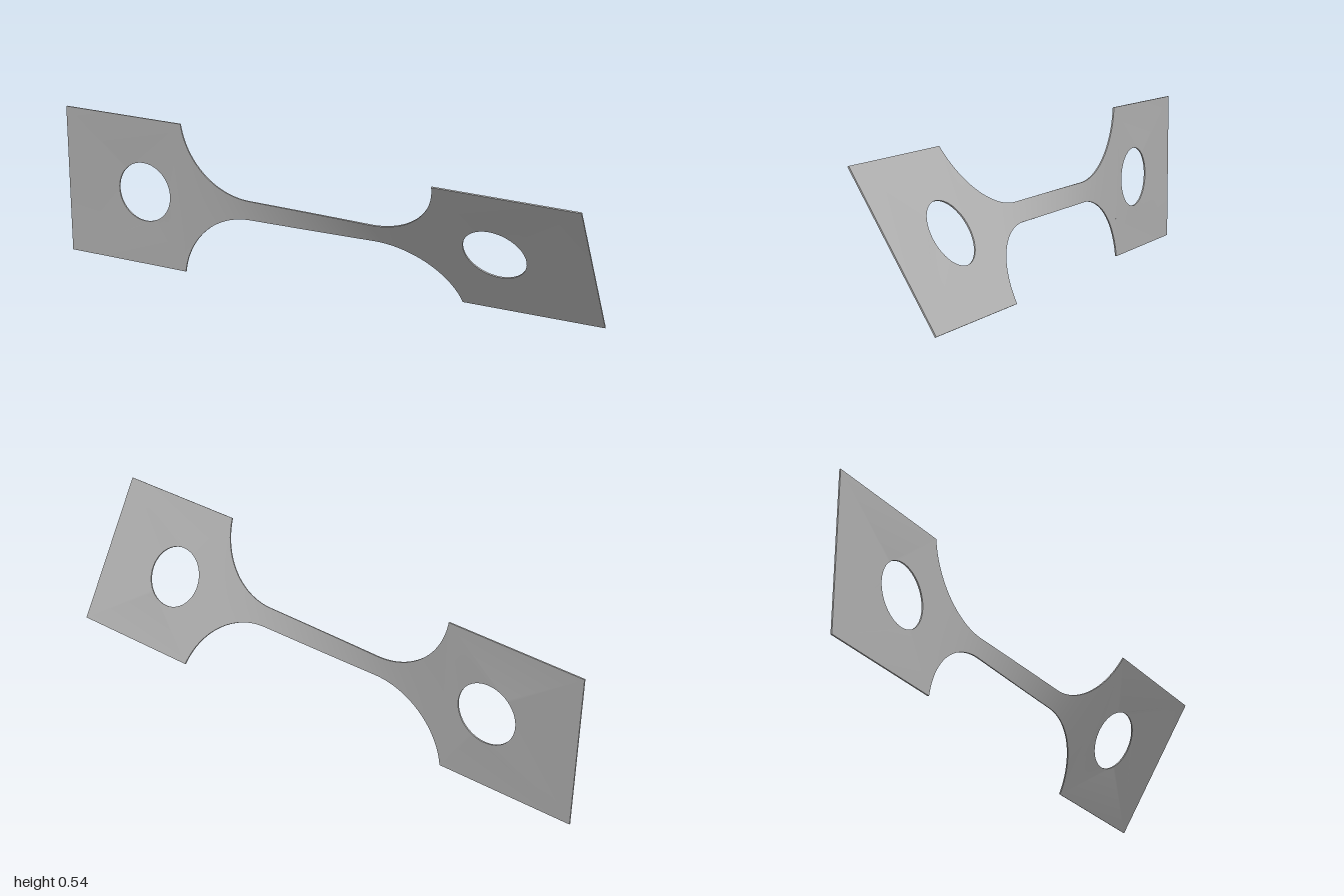
import * as THREE from 'three';
import { toCreasedNormals } from 'three/addons/utils/BufferGeometryUtils.js';

const HALF = 0.272;        // half height of the end tabs
const THICK = 0.005;
const FILLET = { x: 0.235, y: 0.31, r: 0.275 };
const JOIN = FILLET.x + Math.sqrt(FILLET.r ** 2 - (FILLET.y - HALF) ** 2);
const TWIST = THREE.MathUtils.degToRad(31.2);

// Half height of the strip at x: straight neck, round fillets, square tabs
function halfHeight(x) {
  const a = Math.abs(x);
  if (a >= JOIN) return HALF;
  const d = Math.max(0, a - FILLET.x);
  return FILLET.y - Math.sqrt(FILLET.r ** 2 - d * d);
}

// Accumulated twist: the narrow neck turns much more than the wide tabs
const STEPS = 800;
const turn = [0];
for (let i = 0; i < STEPS; i++) {
  turn.push(turn[i] + halfHeight(-1 + (2 * (i + 0.5)) / STEPS) ** -1.3);
}
function angleAt(x) {
  const s = THREE.MathUtils.clamp(((x + 1) / 2) * STEPS, 0, STEPS);
  const i = Math.min(Math.floor(s), STEPS - 1);
  return (TWIST * THREE.MathUtils.lerp(turn[i], turn[i + 1], s - i)) / turn[STEPS];
}

// Turn every vertex about the long axis
function twist(geometry) {
  const p = geometry.attributes.position;
  for (let i = 0; i < p.count; i++) {
    const y = p.getY(i), z = p.getZ(i), a = angleAt(p.getX(i));
    p.setY(i, y * Math.cos(a) - z * Math.sin(a));
    p.setZ(i, y * Math.sin(a) + z * Math.cos(a));
  }
  geometry.computeVertexNormals();
  return geometry;
}

// Square tab with a round hole
function tabGeometry(side) {
  const x0 = Math.min(side, side * JOIN), x1 = Math.max(side, side * JOIN);
  const shape = new THREE.Shape();
  shape.moveTo(x0, -HALF);
  shape.lineTo(x1, -HALF);
  shape.lineTo(x1, HALF);
  shape.lineTo(x0, HALF);
  shape.closePath();
  const hole = new THREE.Path();
  hole.absarc(side * 0.67, 0, 0.108, 0, Math.PI * 2, true);
  shape.holes.push(hole);
  const g = new THREE.ExtrudeGeometry(shape, { depth: THICK, bevelEnabled: false, curveSegments: 32 });
  g.translate(0, 0, -THICK / 2);
  return toCreasedNormals(twist(g), 0.6);
}

// Narrow neck with its fillets, columns packed towards the tabs
function neckGeometry() {
  const rows = 6;
  const g = new THREE.BoxGeometry(2, 2, THICK, 120, rows, 1);
  const p = g.attributes.position;
  for (let i = 0; i < p.count; i++) {
    const x = JOIN * Math.sin((p.getX(i) * Math.PI) / 2);
    p.setX(i, x);
    p.setY(i, p.getY(i) * halfHeight(x));
  }
  // Leave out the hidden end faces
  g.setIndex(Array.from(g.index.array).slice(rows * 12));
  g.clearGroups();
  return twist(g);
}

export function createModel() {
  const metal = new THREE.MeshStandardMaterial({ color: 0xb4b4b4 });
  metal.name = 'plain grey metal';
  const model = new THREE.Group();
  model.name = 'twistedTestStrip';
  const add = (name, geometry) => {
    const mesh = new THREE.Mesh(geometry, metal);
    mesh.name = name;
    mesh.position.y = HALF;
    model.add(mesh);
  };
  add('rightTab', tabGeometry(-1));
  add('neck', neckGeometry());
  add('leftTab', tabGeometry(1));
  return model;
}
